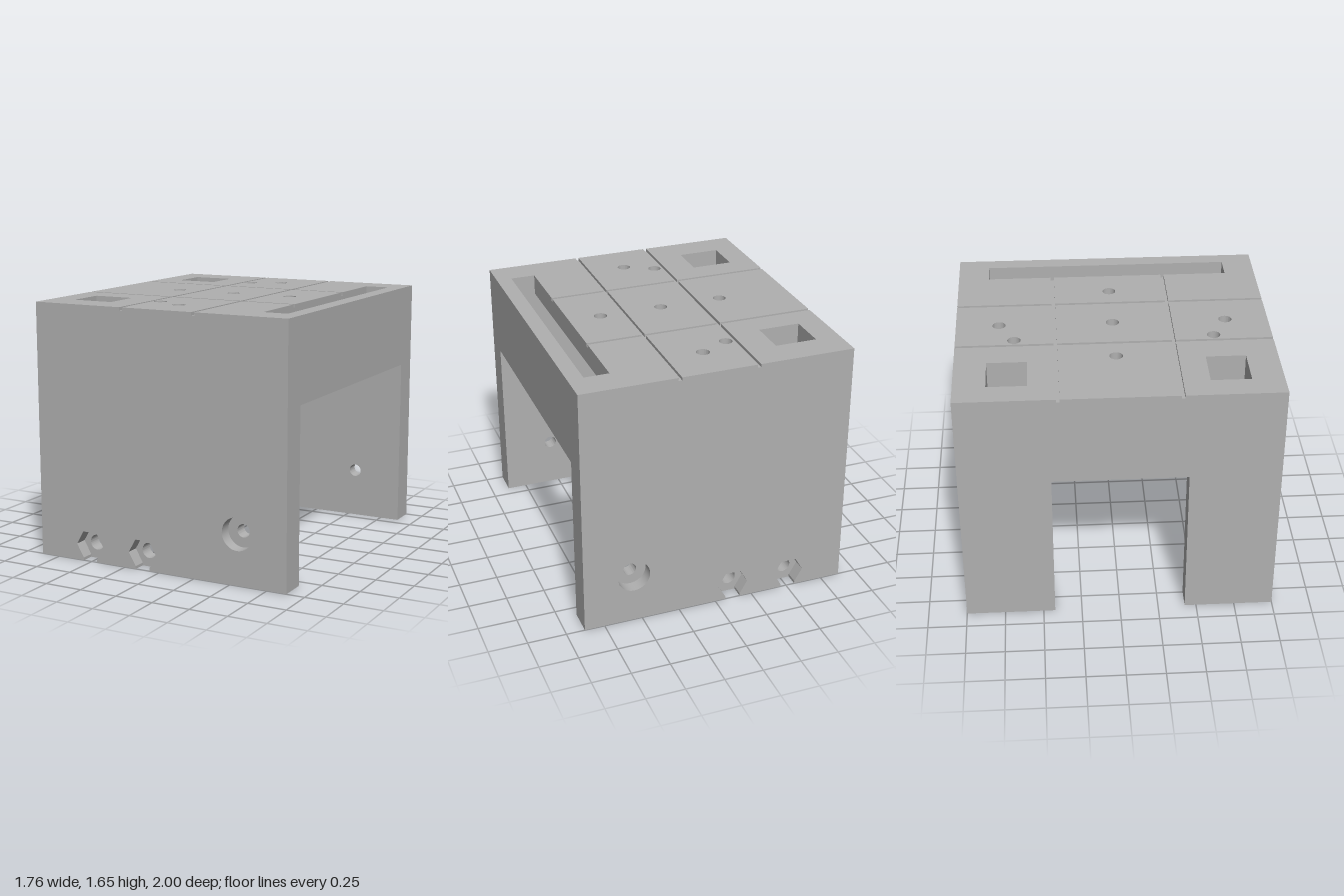
import * as THREE from 'three';
import { toCreasedNormals } from 'three/addons/utils/BufferGeometryUtils.js';

export function createModel() {
  const model = new THREE.Group();
  model.name = 'housing';
  const grey = new THREE.MeshStandardMaterial({ color: 0xb0b0b0 });
  grey.name = 'matte grey';

  // Overall limits and levels
  const X = 0.88, Z = 1, TOP = 1.65, GROOVE = 1.63, CEIL = 1.515, STEP = 1.115;
  const INNER_Z = 0.825, INNER_X = -0.745;

  function add(name, geometry) {
    const mesh = new THREE.Mesh(geometry, grey);
    mesh.name = name;
    model.add(mesh);
  }
  function box(name, x0, x1, y0, y1, z0, z1) {
    const g = new THREE.BoxGeometry(x1 - x0, y1 - y0, z1 - z0);
    g.translate((x0 + x1) / 2, (y0 + y1) / 2, (z0 + z1) / 2);
    add(name, g);
  }
  const rect = (x0, x1, z0, z1) => [[x0, -z1], [x1, -z1], [x1, -z0], [x0, -z0]].map(p => new THREE.Vector2(...p));
  const circle = (x, y, r) => new THREE.Path().absarc(x, y, r, 0, Math.PI * 2, true);
  const extrude = (shape, depth) => toCreasedNormals(
    new THREE.ExtrudeGeometry(shape, { depth, bevelEnabled: false, curveSegments: 32 }), 0.5);

  // Horizontal slab from y0 to y1
  function slab(name, shape, y0, y1) {
    const g = extrude(shape, y1 - y0);
    g.rotateX(-Math.PI / 2);
    g.translate(0, y0, 0);
    add(name, g);
  }

  // Openings through the top: round holes, square shafts and a long slot
  const round = [[0, 0], [-0.41, 0], [0.41, 0], [-0.19, 0.63], [-0.19, -0.63], [0, 0.725], [0, -0.725]]
    .map(([x, z]) => ({ x, z, path: circle(x, -z, 0.042) }));
  const square = [[0.55, 0.8], [-0.8, -0.55]]
    .map(([a, b]) => ({ x: -0.585, z: (a + b) / 2, path: new THREE.Path(rect(-0.72, -0.45, a, b)) }));
  const slot = { x: 0.7, z: 0, path: new THREE.Path(rect(0.62, 0.78, -0.8, 0.8)) };

  function topPlate(name, x0, x1, z0, z1, y0, y1, cuts) {
    const shape = new THREE.Shape(rect(x0, x1, z0, z1));
    for (const c of cuts)
      if (c.x > x0 && c.x < x1 && c.z > z0 && c.z < z1) shape.holes.push(c.path);
    slab(name, shape, y0, y1);
  }

  // Top: tiles separated by shallow grooves, over a solid plate
  const columns = [[-X, -0.263], [-0.241, 0.241], [0.263, 0.62]];
  const rows = [[-Z, -0.383], [-0.361, 0.361], [0.383, Z]];
  for (const [x0, x1] of columns)
    for (const [z0, z1] of rows)
      topPlate('topTile', x0, x1, z0, z1, GROOVE, TOP, [...round, ...square]);
  box('topRightEdge', 0.78, X, GROOVE, TOP, -Z, Z);
  for (const s of [-1, 1])
    box('topSlotEnd', 0.62, 0.78, GROOVE, TOP, Math.min(s * 0.8, s * Z), Math.max(s * 0.8, s * Z));
  topPlate('topPlate', -X, X, -Z, Z, CEIL, GROOVE, [...round, ...square, slot]);

  // Upper rim around the ceiling recess
  topPlate('upperRim', -X, X, -Z, Z, STEP, CEIL,
    [{ x: 0, z: 0, path: new THREE.Path(rect(-0.72, 0.78, -0.8, 0.8)) }]);

  // Front and back walls: outer skin with nut pockets and counterbore, inner skin with bores
  const nuts = [-0.51, -0.12], nutY = 0.105, POCKET = 0.085;
  const outer = new THREE.Shape();
  outer.moveTo(-X, 0);
  for (const c of nuts)
    for (const [dx, y] of [[-0.05, 0], [-0.05, 0.018], [-0.1, nutY], [-0.05, 0.192],
      [0.05, 0.192], [0.1, nutY], [0.05, 0.018], [0.05, 0]]) outer.lineTo(c + dx, y);
  outer.lineTo(X, 0);
  outer.lineTo(X, STEP);
  outer.lineTo(-X, STEP);
  outer.holes.push(circle(0.55, 0.325, 0.105));

  const inner = new THREE.Shape([[-X, 0], [X, 0], [X, STEP], [-X, STEP]].map(p => new THREE.Vector2(...p)));
  for (const c of nuts) inner.holes.push(circle(c, nutY, 0.05));
  inner.holes.push(circle(0.55, 0.325, 0.042));

  const innerDepth = Z - POCKET - INNER_Z;
  for (const [side, s] of [['front', 1], ['back', -1]]) {
    const skin = extrude(outer, POCKET);
    skin.translate(0, 0, s > 0 ? Z - POCKET : -Z);
    add(side + 'WallOuter', skin);
    const lining = extrude(inner, innerDepth);
    lining.translate(0, 0, s > 0 ? INNER_Z : -INNER_Z - innerDepth);
    add(side + 'WallInner', lining);

    const sideBox = (name, x0, x1, y0, y1, a, b) =>
      box(side + name, x0, x1, y0, y1, Math.min(s * a, s * b), Math.max(s * a, s * b));
    // Leg of the side wall beside its doorway
    sideBox('SideLeg', -X, INNER_X, 0, STEP, 0.425, INNER_Z);
    // Shaft under the square opening, with its backing pad
    sideBox('ShaftCheek', -0.45, -0.35, 0.83, CEIL, 0.45, 0.8);
    sideBox('ShaftFace', -0.72, -0.45, 0.83, CEIL, 0.45, 0.55);
    sideBox('ShaftLiner', INNER_X, -0.72, 0.83, STEP, 0.45, 0.8);
    sideBox('ShaftPad', INNER_X, -0.35, 0.5, STEP, 0.8, INNER_Z);

    // Hollow screw post hanging from the ceiling
    const post = new THREE.Shape().absarc(0, -s * 0.725, 0.08, 0, Math.PI * 2, false);
    post.holes.push(circle(0, -s * 0.725, 0.042));
    slab(side + 'ScrewPost', post, 1.11, CEIL);
  }

  // Lintel over the side doorway
  box('sideLintel', -X, INNER_X, 1.05, STEP, -0.425, 0.425);

  return model;
}
